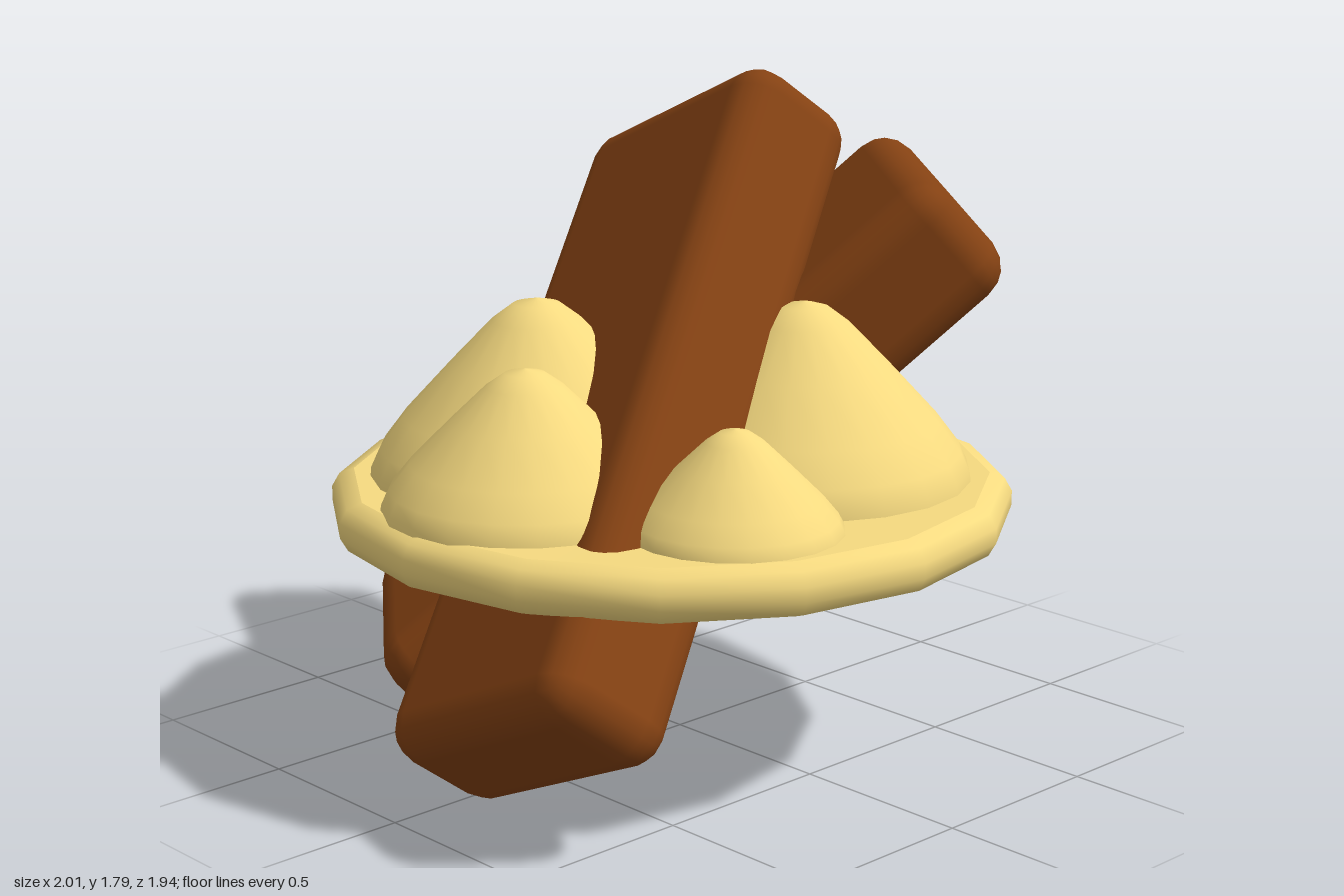
import * as THREE from 'three';
import { RoundedBoxGeometry } from 'three/addons/geometries/RoundedBoxGeometry.js';

const brown = new THREE.MeshStandardMaterial({ color: 0x854213 });
const cream = new THREE.MeshStandardMaterial({ color: 0xf6da80 });

const lathe = (pts, sides) =>
  new THREE.LatheGeometry(pts.map(([r, y]) => new THREE.Vector2(r, y)), sides);

// Rounded bar laid along a given axis, its width running along a second one
function bar(name, centre, axis, width) {
  const a = new THREE.Vector3(...axis).normalize();
  const t = new THREE.Vector3().crossVectors(a, new THREE.Vector3(...width)).normalize();
  const w = new THREE.Vector3().crossVectors(t, a);
  const mesh = new THREE.Mesh(new RoundedBoxGeometry(2.0, 0.77, 0.38, 2, 0.1), brown);
  mesh.name = name;
  mesh.quaternion.setFromRotationMatrix(new THREE.Matrix4().makeBasis(a, w, t));
  mesh.position.set(...centre);
  return mesh;
}

export function createModel() {
  const model = new THREE.Group();

  // Round base plate with a rolled rim (doubled points keep the flats flat)
  const plate = new THREE.Mesh(lathe([
    [0, 0.63], [0.85, 0.63], [0.85, 0.63], [0.89, 0.645], [0.91, 0.68],
    [0.91, 0.72], [0.89, 0.755], [0.85, 0.77], [0.85, 0.77], [0, 0.765],
  ], 16), cream);
  plate.name = 'plate';
  plate.position.set(-0.09, 0, 0.06);
  model.add(plate);

  // Soft pointed mounds on the plate: x, z, radius, top height
  const mounds = new THREE.Group();
  mounds.name = 'mounds';
  const profile = [[1, 0], [0.99, 0.09], [0.94, 0.19], [0.8, 0.36], [0.52, 0.64],
    [0.27, 0.88], [0.14, 0.97], [0, 1]];
  const moundBase = 0.75;
  [
    [-0.34, -0.19, 0.45, 1.24],
    [-0.58, 0.04, 0.375, 1.13],
    [-0.345, 0.56, 0.28, 1.03],
    [0.145, 0.32, 0.45, 1.24],
    [0.32, 0, 0.45, 1.16],
    [0.18, -0.41, 0.31, 1.05],
  ].forEach(([x, z, r, top], i) => {
    const h = top - moundBase;
    const mound = new THREE.Mesh(lathe(profile.map(([u, v]) => [u * r, v * h]), 20), cream);
    mound.name = 'mound' + (i + 1);
    mound.position.set(x, moundBase, z);
    mounds.add(mound);
  });
  model.add(mounds);

  // Two equal bars leaning through the plate
  model.add(
    bar('upperBar', [-0.215, 0.91, 0.02], [0.66, 0.68, -0.31], [0, 0.41, 0.91]),
    bar('sideBar', [0.165, 0.78, -0.18], [0.577, 0.663, 0.477], [0.62, 0.05, -0.79]),
  );
  return model;
}
